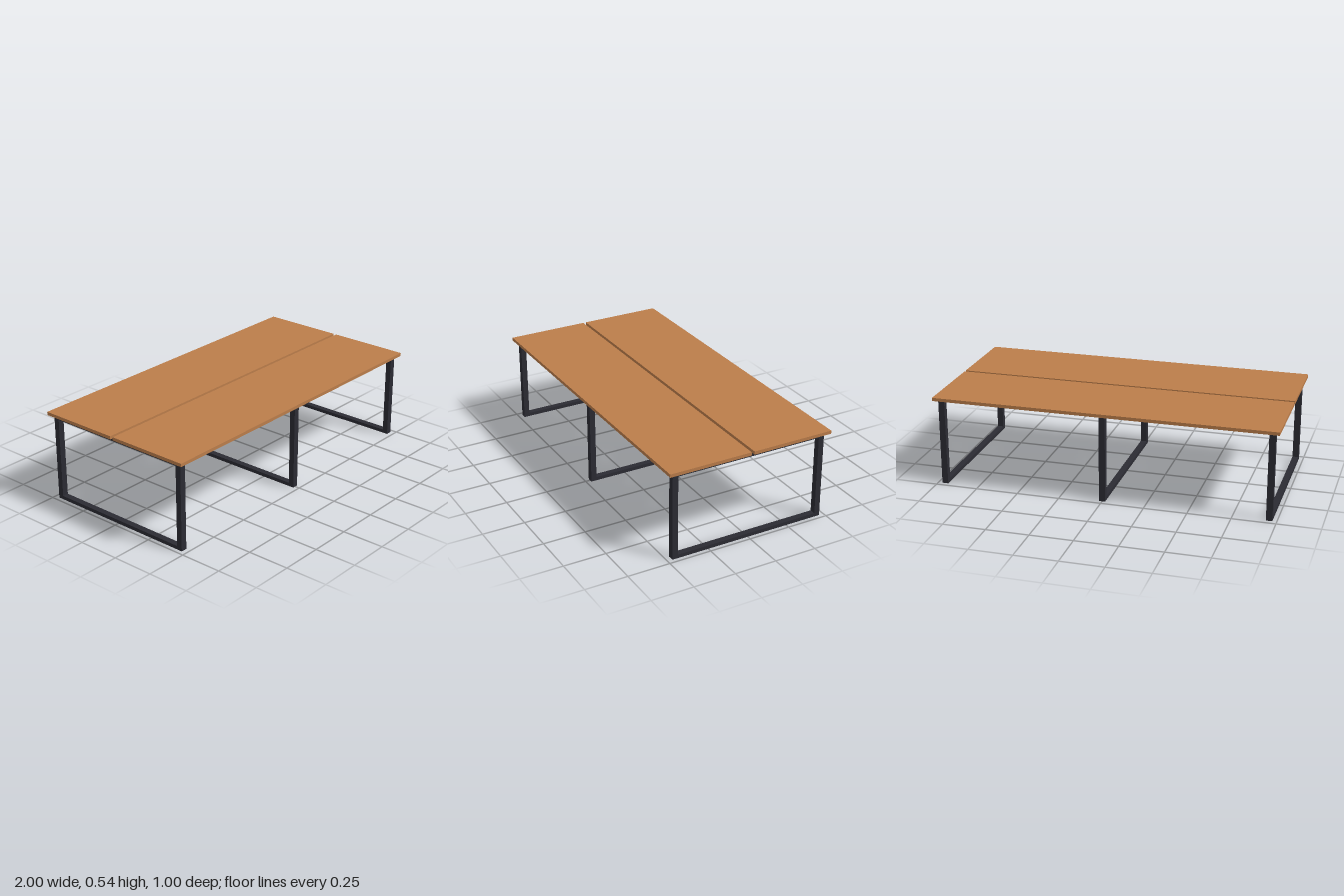
import * as THREE from 'three';

export function createModel() {
  const model = new THREE.Group();
  model.name = 'doubleDesk';

  const wood = new THREE.MeshStandardMaterial({ color: 0xbb7d4a });
  wood.name = 'warm wood';
  const metal = new THREE.MeshStandardMaterial({ color: 0x2b2b33 });
  metal.name = 'dark metal';

  // Box given by its centre, with y measured from its underside
  function addBox(parent, name, material, [w, h, d], [x, y, z]) {
    const mesh = new THREE.Mesh(new THREE.BoxGeometry(w, h, d), material);
    mesh.name = name;
    mesh.position.set(x, y + h / 2, z);
    parent.add(mesh);
  }

  const frameHeight = 0.516, frameDepth = 0.942;
  const tube = 0.036, legDepth = 0.033, railHeight = 0.021;

  // Two worktops with a narrow gap between them
  for (const side of [1, -1]) {
    addBox(model, side > 0 ? 'frontWorktop' : 'backWorktop', wood,
      [2, 0.019, 0.491], [0, frameHeight, side * 0.2545]);
  }

  // Three closed rectangular leg frames
  const innerDepth = frameDepth - 2 * legDepth;
  [['rightFrame', -0.957], ['middleFrame', 0], ['leftFrame', 0.957]].forEach(([name, x]) => {
    const frame = new THREE.Group();
    frame.name = name;
    frame.position.x = x;
    for (const side of [1, -1]) {
      addBox(frame, side > 0 ? 'frontLeg' : 'backLeg', metal,
        [tube, frameHeight, legDepth], [0, 0, side * (frameDepth - legDepth) / 2]);
    }
    addBox(frame, 'floorRail', metal, [tube, railHeight, innerDepth], [0, 0, 0]);
    addBox(frame, 'topRail', metal, [tube, railHeight, innerDepth], [0, frameHeight - railHeight, 0]);
    model.add(frame);
  });

  // Long centre beam, in two halves meeting the middle frame
  const beamEnd = 0.928, beamStart = tube / 2;
  for (const side of [1, -1]) {
    addBox(model, side > 0 ? 'leftBeam' : 'rightBeam', metal,
      [beamEnd - beamStart, 0.041, 0.015], [side * (beamEnd + beamStart) / 2, 0.474, 0]);
  }
  // Short piece of the beam passing under the middle top rail
  addBox(model, 'beamJoint', metal, [tube, 0.021, 0.015], [0, 0.474, 0]);

  return model;
}
